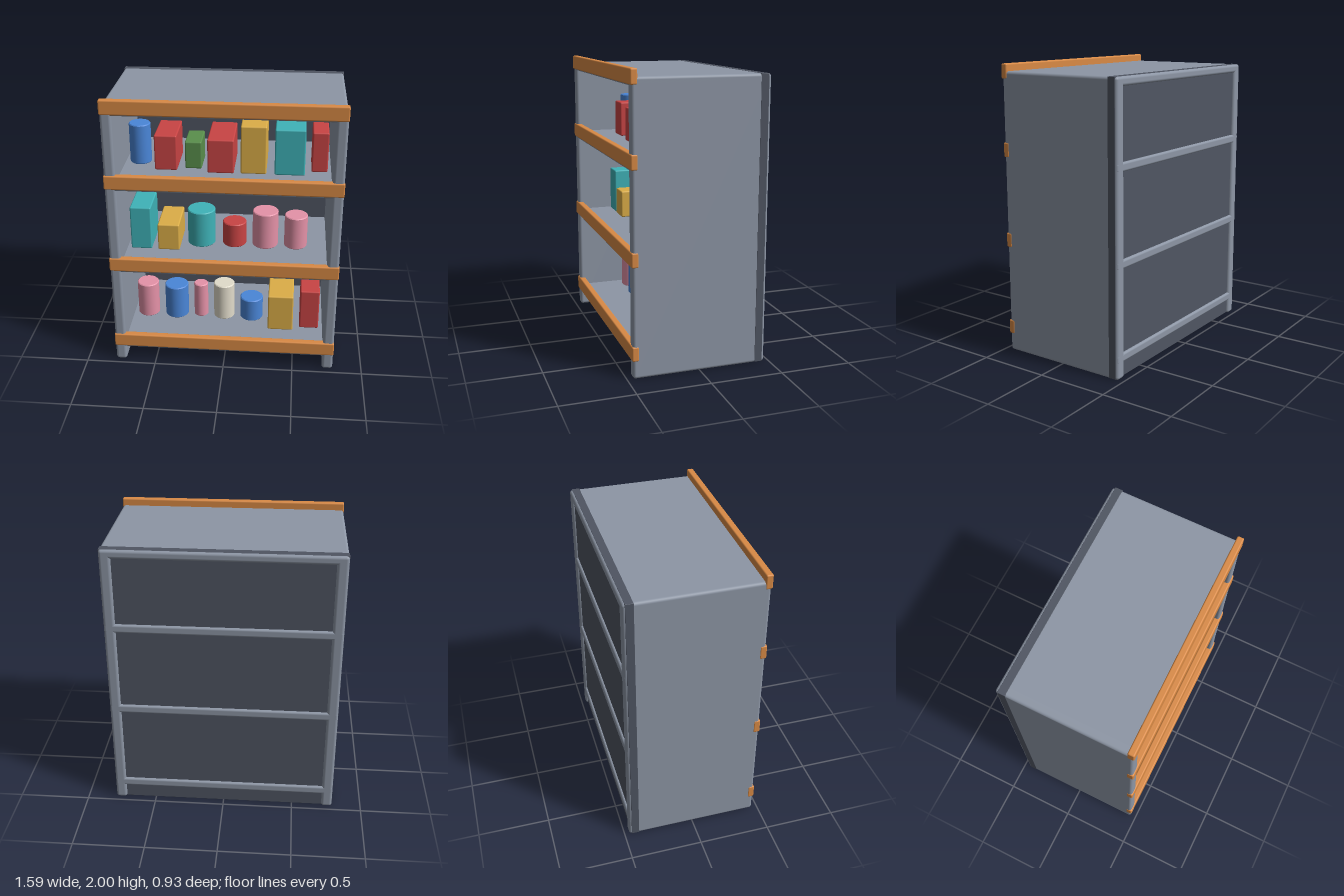
import * as THREE from 'three';
import { RoundedBoxGeometry } from 'three/addons/geometries/RoundedBoxGeometry.js';

const COLORS = {
  frame: 0x8d96a5, back: 0x4f5562, wood: 0xd98a45,
  blue: 0x4a86d8, red: 0xc94444, green: 0x5a8f4c, yellow: 0xdcae48,
  teal: 0x3fb3b8, pink: 0xe592a8, cream: 0xe2dccb,
};
const materials = {};
for (const key in COLORS) materials[key] = new THREE.MeshStandardMaterial({ color: COLORS[key] });

// Rounded box given by its extents along each axis
function block(name, color, [x0, x1], [y0, y1], [z0, z1], radius) {
  const geometry = new RoundedBoxGeometry(x1 - x0, y1 - y0, z1 - z0, 3, radius);
  const mesh = new THREE.Mesh(geometry, materials[color]);
  mesh.position.set((x0 + x1) / 2, (y0 + y1) / 2, (z0 + z1) / 2);
  mesh.name = name;
  return mesh;
}

// Can with softened rims
function can(name, color, [x0, x1], [y0, y1], z) {
  const r = (x1 - x0) / 2, h = y1 - y0, b = 0.006;
  const profile = [[0, 0], [r - b, 0], [r - b, 0], [r, b], [r, b], [r, h - b], [r, h - b], [r - b, h], [r - b, h], [0, h]];
  const geometry = new THREE.LatheGeometry(profile.map(([x, y]) => new THREE.Vector2(x, y)), 36);
  const mesh = new THREE.Mesh(geometry, materials[color]);
  mesh.position.set((x0 + x1) / 2, y0, z);
  mesh.name = name;
  return mesh;
}

// Shelf rows: underside height of the board, then goods as [kind, color, left, right, top]
const ROWS = [
  { y: 0.11, goods: [
    ['can', 'pink', -0.685, -0.525, 0.44], ['can', 'blue', -0.475, -0.3, 0.43],
    ['can', 'pink', -0.255, -0.15, 0.445], ['can', 'cream', -0.105, 0.05, 0.455],
    ['can', 'blue', 0.095, 0.265, 0.345], ['box', 'yellow', 0.31, 0.495, 0.455],
    ['box', 'red', 0.545, 0.685, 0.485]] },
  { y: 0.74, goods: [
    ['box', 'teal', -0.685, -0.535, 1.125], ['box', 'yellow', -0.49, -0.335, 1.0],
    ['can', 'teal', -0.29, -0.09, 1.07], ['can', 'red', -0.035, 0.135, 0.98],
    ['can', 'pink', 0.18, 0.365, 1.07], ['can', 'pink', 0.41, 0.575, 1.045]] },
  { y: 1.365, goods: [
    ['can', 'blue', -0.685, -0.535, 1.71], ['box', 'red', -0.49, -0.335, 1.675],
    ['box', 'green', -0.285, -0.17, 1.62], ['box', 'red', -0.125, 0.055, 1.665],
    ['box', 'yellow', 0.1, 0.275, 1.765], ['box', 'teal', 0.33, 0.535, 1.75],
    ['box', 'red', 0.58, 0.69, 1.71]] },
];

export function createModel() {
  const group = new THREE.Group();
  group.name = 'stockedShelf';
  const depth = [-0.467, 0.46];

  // Cabinet: side panels, top board and back panel
  for (const [name, x] of [['rightSidePanel', [-0.792, -0.715]], ['leftSidePanel', [0.715, 0.792]]]) {
    group.add(block(name, 'frame', x, [0, 1.95], depth, 0.02));
  }
  group.add(block('topBoard', 'frame', [-0.792, 0.792], [1.89, 1.95], depth, 0.02));
  group.add(block('backPanel', 'back', [-0.793, 0.793], [0.005, 1.951], [-0.45, -0.395], 0.003));
  group.add(block('topTrim', 'wood', [-0.795, 0.795], [1.9, 2], [0.42, 0.467], 0.01));

  // Shelf boards with front trim and goods
  ROWS.forEach(({ y, goods }, i) => {
    const row = new THREE.Group();
    row.name = `shelf${i + 1}`;
    const top = y + 0.06, middle = 0.06;
    row.add(block('shelfBoard', 'frame', [-0.79, 0.79], [y, top], depth, 0.015));
    row.add(block('shelfTrim', 'wood', [-0.795, 0.795], [y + 0.012, y + 0.112], [0.42, 0.467], 0.01));
    for (const [kind, color, x0, x1, h] of goods) {
      if (kind === 'can') {
        row.add(can(`${color}Can`, color, [x0, x1], [top, h], middle));
      } else {
        const half = Math.min(x1 - x0, 0.18);
        row.add(block(`${color}Box`, color, [x0, x1], [top, h], [middle - half, middle + half], 0.01));
      }
    }
    group.add(row);
  });
  return group;
}
